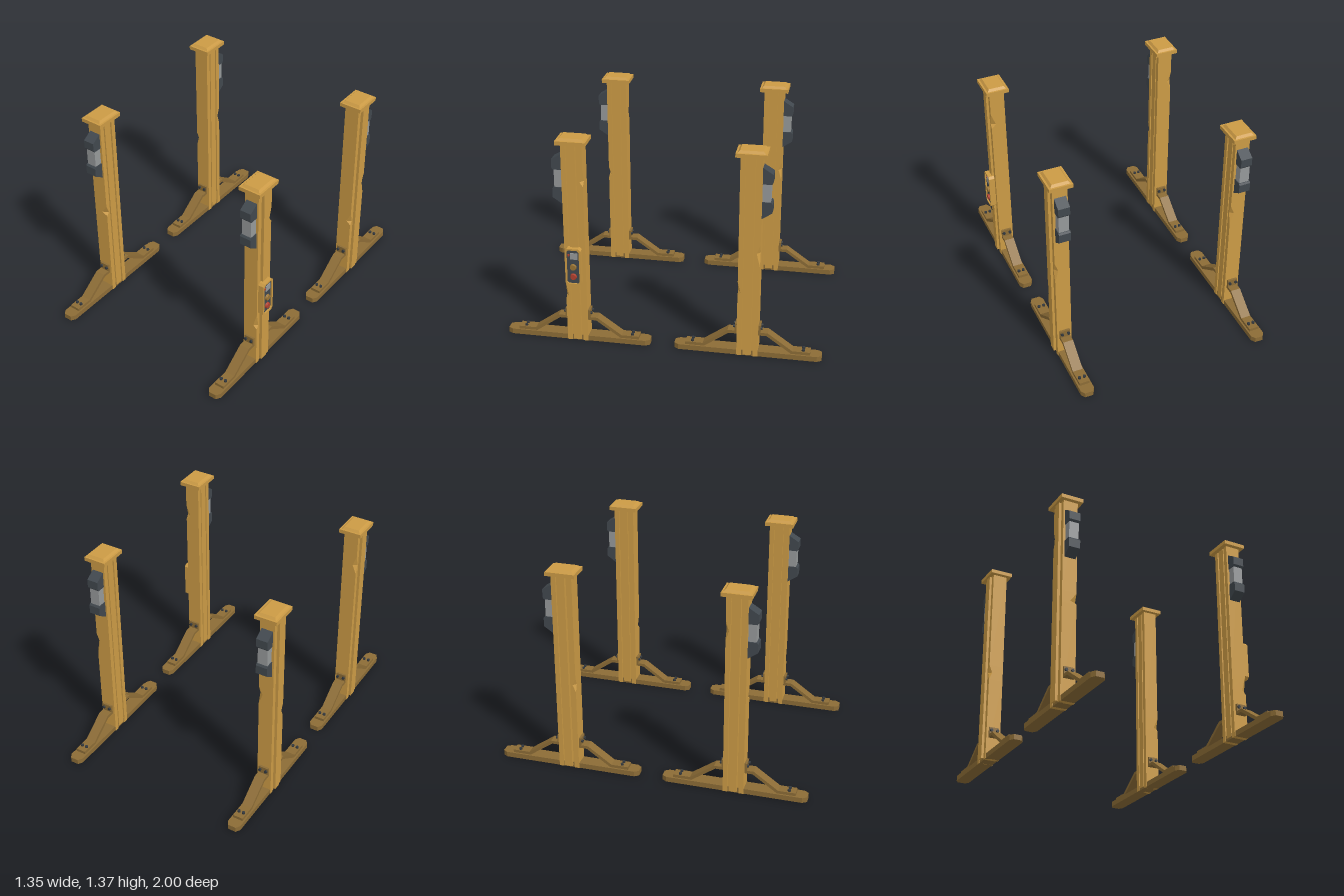
import * as THREE from 'three';

const mat = (name, color) => {
  const m = new THREE.MeshStandardMaterial({ color });
  m.name = name;
  return m;
};

export function createModel() {
  const ochre = mat('ochre paint', 0xcc9b45);
  const bronze = mat('dark bronze', 0x8c6c36);
  const charcoal = mat('charcoal', 0x41484e);
  const bolt = mat('bolt steel', 0x33383d);
  const lens = mat('lamp lens grey', 0x96999a);
  const amber = mat('amber button', 0x9a7434);
  const red = mat('red button', 0xb0402e);

  const add = (parent, name, geo, material, x = 0, y = 0, z = 0) => {
    const mesh = new THREE.Mesh(geo, material);
    mesh.name = name;
    mesh.position.set(x, y, z);
    parent.add(mesh);
    return mesh;
  };
  const box = (w, h, d) => new THREE.BoxGeometry(w, h, d);
  const shapeOf = (pts) => new THREE.Shape(pts.map((p) => new THREE.Vector2(...p)));
  const extrude = (shape, depth) => new THREE.ExtrudeGeometry(shape, { depth, bevelEnabled: false });
  // side profile given as (z, y), centred across x
  const profile = (pts, width) =>
    extrude(shapeOf(pts), width).translate(0, 0, -width / 2).rotateY(-Math.PI / 2);
  // rectangle with cut corners
  const cutRect = (w, h, a, b) => [
    [w, h - b], [w - a, h], [a - w, h], [-w, h - b],
    [-w, b - h], [a - w, -h], [w - a, -h], [w, b - h]];

  // flange of a post; chips = [side, y0, yMid, y1, depthX, depthZ] on its outer corners
  const flange = (chips) => {
    const H = 1.34, w = 0.048, zo = 0.066, zi = 0.036;
    const levels = [0, H, ...chips.flatMap((c) => c.slice(1, 4))].sort((a, b) => a - b);
    const cut = (side, y) => {
      for (const [s, y0, ym, y1, dx, dz] of chips) {
        if (s !== side || y <= y0 || y >= y1) continue;
        const t = y < ym ? (y - y0) / (ym - y0) : (y1 - y) / (y1 - ym);
        return [dx * t, dz * t];
      }
      return [0, 0];
    };
    const rings = levels.map((y) => {
      const [ax, az] = cut(1, y), [bx, bz] = cut(-1, y);
      return [[w, y, zo - az], [w, y, zi], [-w, y, zi], [-w, y, zo - bz], [bx - w, y, zo], [w - ax, y, zo]];
    });
    const pos = [];
    for (let k = 0; k < rings.length - 1; k++) {
      for (let i = 0; i < 6; i++) {
        const j = (i + 1) % 6, lo = rings[k], hi = rings[k + 1];
        pos.push(...lo[i], ...lo[j], ...hi[j], ...lo[i], ...hi[j], ...hi[i]);
      }
    }
    for (let i = 1; i < 5; i++) pos.push(...rings[0][0], ...rings[0][i + 1], ...rings[0][i]);
    const g = new THREE.BufferGeometry();
    g.setAttribute('position', new THREE.Float32BufferAttribute(pos, 3));
    g.computeVertexNormals();
    return g;
  };

  // bevelled top of the cap
  const capTop = box(0.124, 0.014, 0.164);
  const cp = capTop.attributes.position;
  for (let i = 0; i < cp.count; i++) {
    if (cp.getY(i) > 0) cp.setXYZ(i, Math.sign(cp.getX(i)) * 0.05, 0.007, Math.sign(cp.getZ(i)) * 0.069);
  }
  const capTopGeo = capTop.toNonIndexed();
  capTopGeo.computeVertexNormals();

  const footGeo = extrude(shapeOf(cutRect(0.044, 0.461, 0.018, 0.028)), 0.034).rotateX(-Math.PI / 2);
  const braceGeo = profile([
    [0.39, 0.034], [0.39, 0.053], [0.28, 0.053], [0.125, 0.163], [0.08, 0.163], [0.08, 0.212],
    [0.064, 0.212], [0.064, 0.143], [0.118, 0.143], [0.272, 0.034]], 0.066);
  const bolts = new THREE.CylinderGeometry(0.01, 0.01, 0.012, 8);
  const wallBolts = bolts.clone().rotateX(Math.PI / 2);

  const lampTop = profile([[0.06, 1.264], [0.128, 1.222], [0.128, 1.168], [0.12, 1.157], [0.06, 1.157]], 0.074);
  const lampBottom = profile([[0.06, 0.93], [0.06, 1.043], [0.12, 1.043], [0.128, 1.032], [0.128, 0.976]], 0.074);

  const makePost = (cx, cz, frontChips, backChips) => {
    const post = new THREE.Group();
    const out = Math.sign(cx);
    post.name = 'post';
    post.position.set(cx, 0, cz);

    // column: two chipped flanges, a recessed web and a raised rail
    add(post, 'frontFlange', flange(frontChips), ochre);
    add(post, 'backFlange', flange(backChips.map(([s, ...r]) => [-s, ...r])), ochre).rotation.y = Math.PI;
    add(post, 'web', box(0.07, 1.32, 0.09), ochre, 0, 0.67, 0);
    add(post, 'rail', box(0.107, 1.32, 0.05), ochre, out * 0.0065, 0.673, 0);
    add(post, 'capPlate', box(0.148, 0.025, 0.187), ochre, 0, 1.3405, 0);
    add(post, 'capTop', capTopGeo, ochre, 0, 1.36, 0);
    add(post, 'foot', footGeo, bronze);

    // a bolted brace at the front and back
    for (const turn of [0, Math.PI]) {
      const brace = new THREE.Group();
      brace.name = 'brace';
      brace.rotation.y = turn;
      add(brace, 'braceStrap', braceGeo, bronze);
      for (const s of [-1, 1]) {
        add(brace, 'footBolt', bolts, bolt, s * 0.016, 0.058, 0.347);
        add(brace, 'wallBolt', wallBolts, bolt, s * 0.021, 0.19, 0.085);
      }
      post.add(brace);
    }

    // lamp on the outward face
    const lamp = new THREE.Group();
    lamp.name = 'lamp';
    if (cz < 0) lamp.rotation.y = Math.PI;
    add(lamp, 'lampTop', lampTop, charcoal);
    add(lamp, 'lampBottom', lampBottom, charcoal);
    add(lamp, 'lampLens', box(0.064, 0.12, 0.056), lens, 0, 1.1, 0.088);
    post.add(lamp);
    return post;
  };

  const model = new THREE.Group();
  model.name = 'fourPosts';
  const R = 0.582, L = -0.6, Z = 0.539;
  const frontRight = makePost(R, Z,
    [[1, 0.29, 0.315, 0.41, 0.025, 0.018]], [[1, 1.06, 1.09, 1.17, 0.03, 0.02]]);
  model.add(
    frontRight,
    makePost(R, -Z, [[1, 0.415, 0.44, 0.51, 0.03, 0.018]], [[1, 0.62, 0.71, 0.77, 0.022, 0.022]]),
    makePost(L, Z, [[1, 0.63, 0.648, 0.705, 0.04, 0.02]], [[-1, 1.04, 1.1, 1.17, 0.025, 0.02]]),
    makePost(L, -Z, [[-1, 0.55, 0.6, 0.65, 0.02, 0.02]], [[1, 0.7, 0.77, 0.83, 0.025, 0.02]]),
  );

  // control box on the side of one post, built facing +z and turned to +x
  const panel = new THREE.Group();
  panel.name = 'controlBox';
  panel.position.set(0.046, 0.535, 0.005);
  panel.rotation.y = Math.PI / 2;
  const frame = shapeOf(cutRect(0.05, 0.124, 0.014, 0.014));
  frame.holes.push(new THREE.Path(cutRect(0.039, 0.113, 0.011, 0.011).map((p) => new THREE.Vector2(...p))));
  add(panel, 'controlFrame', extrude(frame, 0.041), ochre);
  add(panel, 'controlPlate', box(0.082, 0.23, 0.031), charcoal, 0, 0, 0.0165);
  add(panel, 'display', box(0.046, 0.042, 0.006), lens, 0.006, 0.072, 0.034);
  add(panel, 'indicator', box(0.01, 0.014, 0.006), red, -0.027, 0.078, 0.034);
  const button = new THREE.CylinderGeometry(0.018, 0.022, 0.014, 12).rotateX(Math.PI / 2);
  add(panel, 'amberButton', button, amber, 0, -0.003, 0.038);
  add(panel, 'redButton', button, red, 0, -0.068, 0.038);
  frontRight.add(panel);

  return model;
}
